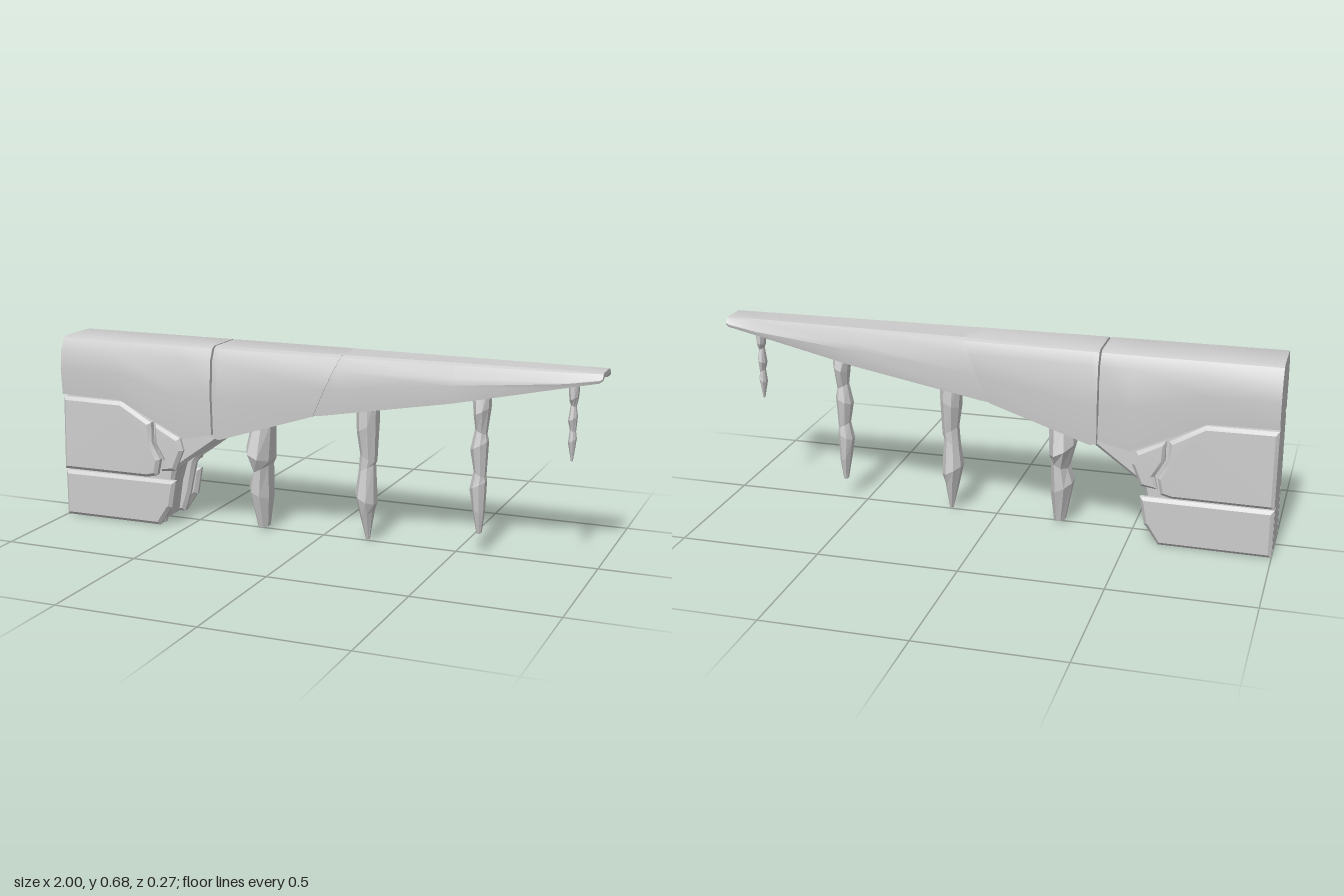
import * as THREE from 'three';
import { toCreasedNormals } from 'three/addons/utils/BufferGeometryUtils.js';

const stone = new THREE.MeshStandardMaterial({ color: 0xcccccc });
const TOP = 0.68;

function addMesh(group, name, geometry, crease = 0.45) {
  const mesh = new THREE.Mesh(toCreasedNormals(geometry, crease), stone);
  mesh.name = name;
  group.add(mesh);
  return mesh;
}

// Skin a series of rings, closing both ends; flat() projects a ring to 2D along its travel.
function loft(rings, flat) {
  const n = rings[0].length, index = [];
  rings.slice(1).forEach((_, i) => {
    for (let j = 0; j < n; j++) {
      const a = i * n + j, b = i * n + (j + 1) % n;
      index.push(a, b, b + n, a, b + n, a + n);
    }
  });
  const cap = (ring, offset, flip) => {
    for (const [a, b, c] of THREE.ShapeUtils.triangulateShape(ring.map(flat), [])) {
      index.push(offset + a, offset + (flip ? c : b), offset + (flip ? b : c));
    }
  };
  cap(rings[0], 0, true);
  cap(rings.at(-1), (rings.length - 1) * n, false);
  const g = new THREE.BufferGeometry().setFromPoints(rings.flat());
  g.setIndex(index);
  return g.toNonIndexed();
}

// Arched beam section: bottom height, half width, channel depth, slant of the cut.
function beamRing([x, bottom, w, depth = 0, slant = 0]) {
  const h = TOP - bottom, drop = Math.min(0.05, h * 0.7);
  const half = [
    [TOP, 0.62], [TOP - drop * 0.15, 0.76], [TOP - drop, 0.93],
    [TOP - Math.max(drop * 1.05, h * 0.55), 1], [bottom, 0.95],
    [bottom, 0.78], [bottom + depth, 0.55],
  ];
  const side = s => half.map(([y, f]) =>
    new THREE.Vector3(x + slant * (y - bottom) / h, y, s * f * w));
  return [...side(1), ...side(-1).reverse()];
}
const beam = sections => loft(sections.map(beamRing), p => new THREE.Vector2(p.y, p.z));

// Plate cut from a side outline, between two z values, with chamfered edges.
function plate(points, z0, z1, bevel = 0.012) {
  const shape = new THREE.Shape(points.map(p => new THREE.Vector2(...p)));
  const g = new THREE.ExtrudeGeometry(shape, {
    depth: z1 - z0 - 2 * bevel, bevelEnabled: bevel > 0, bevelSegments: 1,
    bevelSize: bevel, bevelOffset: -bevel, bevelThickness: bevel,
  });
  return g.translate(0, 0, z0 + bevel);
}

// Hanging spike from [y, left x, right x, half depth] rows, top to bottom.
function spike(rows) {
  const rings = rows.map(([y, x0, x1, rz], i) =>
    Array.from({ length: 8 }, (_, j) => {
      const a = (j + 0.5) * Math.PI / 4;
      const c = Math.cos(a) / Math.cos(Math.PI / 8), s = Math.sin(a) / Math.cos(Math.PI / 8);
      const tilt = i === 0 || i === rows.length - 1 ? 0 : 0.25 * (x1 - x0) * c * (i % 2 ? 1 : -1);
      return new THREE.Vector3((x0 + x1) / 2 + c * (x1 - x0) / 2, y + tilt, s * rz);
    }));
  return loft(rings, p => new THREE.Vector2(p.x, p.z));
}

export function createModel() {
  const model = new THREE.Group();
  model.name = 'taperedBracket';

  // Arched shells, from the wall end to the tip
  addMesh(model, 'upperWallShell', beam([
    [-1, 0.465, 0.128], [-0.76, 0.46, 0.125], [-0.5, 0.337, 0.123], [-0.39, 0.36, 0.12],
  ]));
  addMesh(model, 'middleShell', beam([
    [-0.383, 0.35, 0.118, 0.06], [-0.36, 0.345, 0.12, 0.06],
    [0, 0.46, 0.108, 0.05, 0.1],
  ]));
  addMesh(model, 'tipShell', beam([
    [-0.03, 0.457, 0.104, 0.05, 0.1], [0.03, 0.465, 0.104, 0.05, 0.08], [0.5, 0.545, 0.09, 0.045],
    [0.88, 0.625, 0.075, 0.022], [0.99, 0.648, 0.07, 0.01], [1, 0.655, 0.068, 0.008],
  ]));

  // Recessed core with a ramp running down to the foot
  addMesh(model, 'footCore', plate([
    [-1, 0.005], [-0.62, 0.005], [-0.6, 0.13], [-0.57, 0.23], [-0.45, 0.345],
    [-0.34, 0.41], [-0.34, 0.58], [-1, 0.58],
  ], -0.085, 0.085, 0));

  // Side cladding, mirrored
  const cladding = {
    cheek: { z: [0.06, 0.105], points: [
      [-0.998, 0.004], [-0.6, 0.004], [-0.575, 0.08], [-0.55, 0.2], [-0.53, 0.225],
      [-0.37, 0.34], [-0.36, 0.45], [-0.998, 0.5]] },
    middlePanel: { z: [0.07, 0.133], points: [
      [-1, 0.455], [-0.755, 0.452], [-0.635, 0.385], [-0.632, 0.31], [-0.6, 0.25],
      [-0.612, 0.19], [-0.65, 0.18], [-1, 0.18]] },
    wedgePanel: { z: [0.07, 0.126], points: [
      [-0.622, 0.382], [-0.522, 0.335], [-0.508, 0.29], [-0.54, 0.212], [-0.6, 0.205],
      [-0.588, 0.25], [-0.622, 0.31]] },
    lowerPanel: { z: [0.085, 0.127], points: [
      [-1, 0.173], [-0.54, 0.173], [-0.558, 0.07], [-0.565, 0.065], [-0.608, 0], [-1, 0]] },
  };
  for (const [name, { z, points }] of Object.entries(cladding)) {
    for (const s of [1, -1]) {
      const g = s > 0 ? plate(points, z[0], z[1]) : plate(points, -z[1], -z[0]);
      // Lean the outer faces in towards the top and the tip
      const p = g.attributes.position;
      for (let i = 0; i < p.count; i++) {
        if (Math.abs(p.getZ(i)) < z[1] - 0.02) continue;
        const lean = Math.max(0, p.getY(i) - 0.3) * 0.06 + (p.getX(i) + 1) * 0.012;
        p.setZ(i, p.getZ(i) - s * lean);
      }
      addMesh(model, (s > 0 ? 'front' : 'back') + name[0].toUpperCase() + name.slice(1), g);
    }
  }

  // Jointed spikes hanging from the channel
  const spikes = [
    [[0.46, -0.275, -0.2, 0.05], [0.38, -0.28, -0.195, 0.058], [0.285, -0.288, -0.2, 0.085],
      [0.23, -0.265, -0.205, 0.06], [0.14, -0.282, -0.205, 0.06], [0.01, -0.255, -0.215, 0.028]],
    [[0.54, 0.13, 0.205, 0.045], [0.42, 0.135, 0.205, 0.052], [0.31, 0.145, 0.2, 0.035],
      [0.27, 0.14, 0.195, 0.035], [0.16, 0.13, 0.2, 0.052], [0.1, 0.148, 0.192, 0.035],
      [0.005, 0.166, 0.178, 0.006]],
    [[0.6, 0.545, 0.61, 0.025], [0.51, 0.558, 0.61, 0.045], [0.44, 0.562, 0.6, 0.026],
      [0.39, 0.548, 0.605, 0.038], [0.29, 0.56, 0.6, 0.026], [0.25, 0.548, 0.602, 0.034],
      [0.16, 0.558, 0.598, 0.028], [0.077, 0.574, 0.59, 0.012]],
    [[0.645, 0.876, 0.912, 0.026], [0.58, 0.882, 0.91, 0.027], [0.555, 0.886, 0.904, 0.014],
      [0.51, 0.88, 0.908, 0.025], [0.47, 0.886, 0.905, 0.014], [0.435, 0.882, 0.908, 0.02],
      [0.365, 0.893, 0.899, 0.005]],
  ];
  spikes.forEach((rows, i) => addMesh(model, `hangingSpike${i + 1}`, spike(rows), 0.1));

  return model;
}
